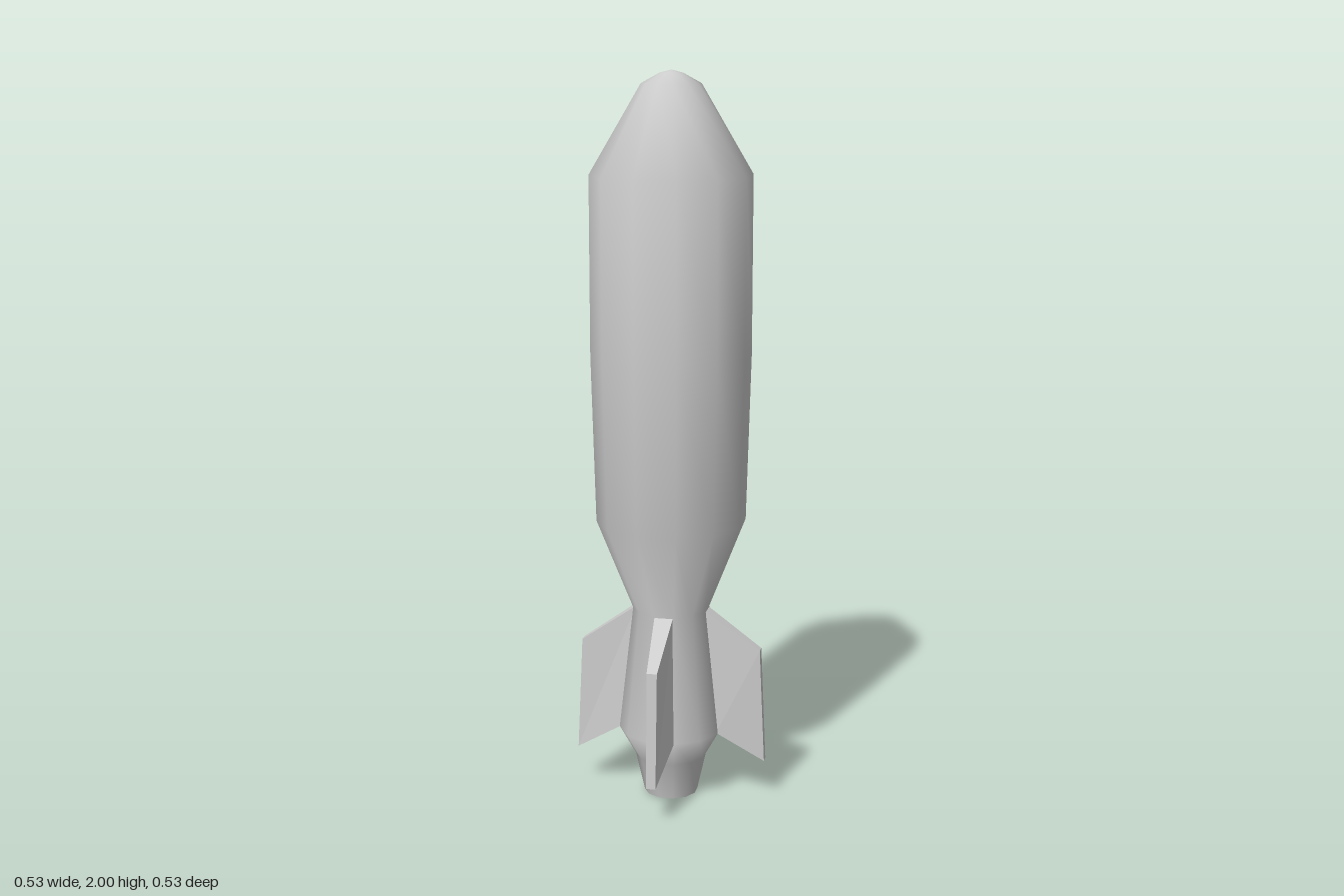
import * as THREE from 'three';

const SIDES = 12;
const TURN = Math.PI / SIDES; // flat sides face the axes
const CORNER = 1 / Math.cos(TURN); // flat-side distance to corner radius

// Tapered fin pointing along +x: a box whose corners are moved to the fin outline
function finGeometry() {
  const geometry = new THREE.BoxGeometry(1, 1, 1);
  const p = geometry.attributes.position;
  // [x, y, half thickness] for each corner of the outline
  const rootLow = [0.135, 0.192, 0.037], rootHigh = [0.095, 0.543, 0.026];
  const tipLow = [0.267, 0.11, 0.013], tipHigh = [0.252, 0.432, 0.014];
  for (let i = 0; i < p.count; i++) {
    const high = p.getY(i) > 0;
    const [x, y, t] = p.getX(i) > 0 ? (high ? tipHigh : tipLow) : (high ? rootHigh : rootLow);
    p.setXYZ(i, x, y, Math.sign(p.getZ(i)) * t);
  }
  const flat = geometry.toNonIndexed();
  flat.computeVertexNormals();
  return flat;
}

export function createModel() {
  const model = new THREE.Group();
  model.name = 'bomb';
  const metal = new THREE.MeshStandardMaterial({ color: 0xcccccc });
  metal.name = 'light grey metal';

  // Casing from tail to nose: distance to the flat sides, height
  const profile = [
    [0.072, 0], [0.096, 0.11], [0.14, 0.19], [0.102, 0.54], [0.198, 0.79],
    [0.21, 1.25], [0.21, 1.73], [0.077, 1.965], [0.03, 1.992], [0, 2],
  ].map(([r, y]) => new THREE.Vector2(r * CORNER, y));
  const casing = new THREE.Mesh(new THREE.LatheGeometry(profile, SIDES, TURN), metal);
  casing.name = 'casing';
  model.add(casing);

  // Flat tail end
  const tailCap = new THREE.Mesh(new THREE.CircleGeometry(0.072 * CORNER, SIDES, TURN), metal);
  tailCap.name = 'tailCap';
  tailCap.rotation.x = Math.PI / 2;
  model.add(tailCap);

  // Four tail fins
  const fin = finGeometry();
  ['leftFin', 'backFin', 'rightFin', 'frontFin'].forEach((name, i) => {
    const mesh = new THREE.Mesh(fin, metal);
    mesh.name = name;
    mesh.rotation.y = i * Math.PI / 2;
    model.add(mesh);
  });
  return model;
}
